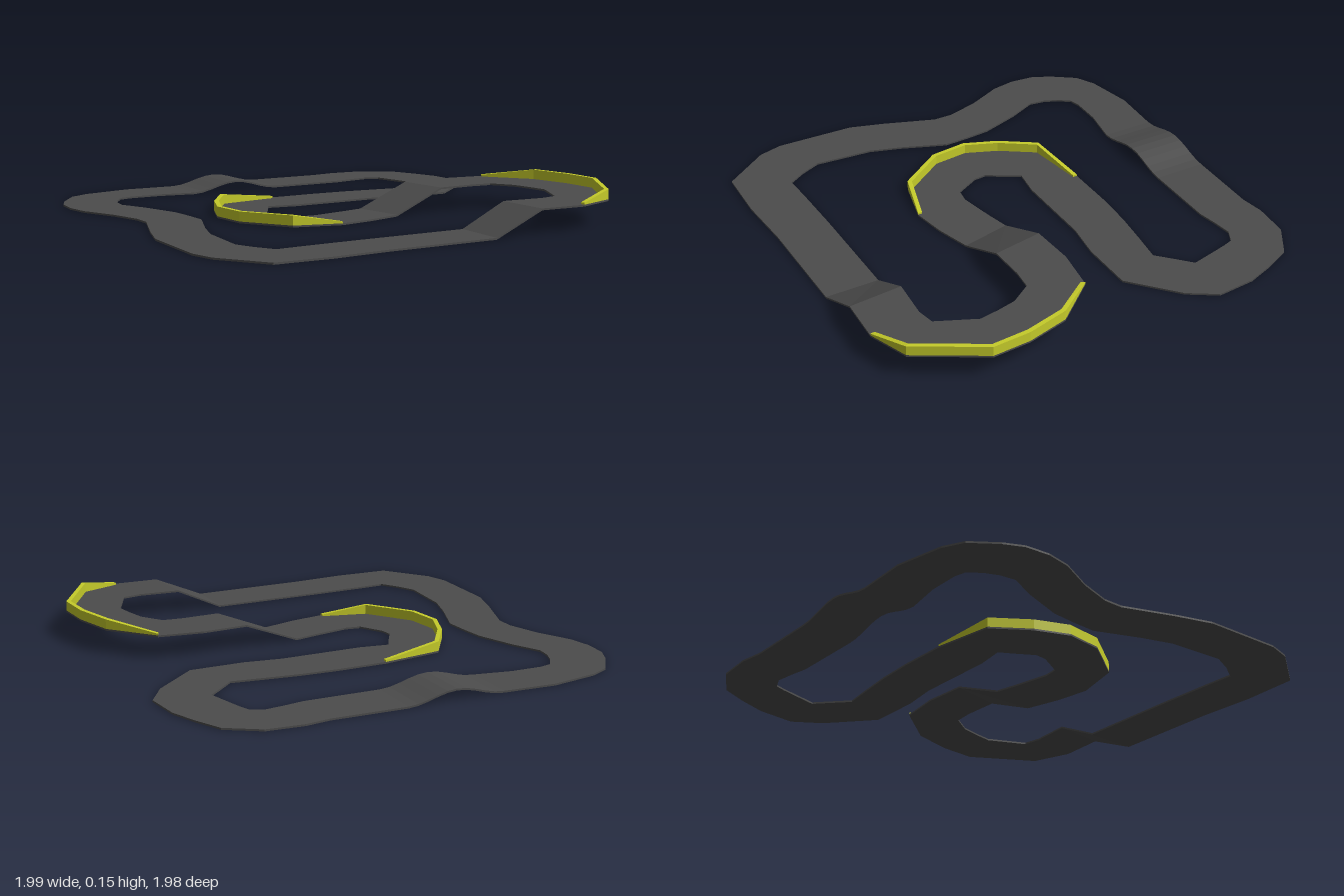
import * as THREE from 'three';

const THICK = 0.008, DECK = 0.1, WALL = 0.02;
const roadMat = new THREE.MeshStandardMaterial({ color: 0x4c4c4c, flatShading: true });
const wallMat = new THREE.MeshStandardMaterial({ color: 0xc6cc2a, flatShading: true });

// Skins four-cornered rings (left top, right top, right bottom, left bottom) and caps both ends
function loft(name, rings, material) {
  const pos = [];
  const quad = (a, b, c, d) => pos.push(...a, ...b, ...c, ...a, ...c, ...d);
  for (let i = 0; i < rings.length - 1; i++) {
    const r = rings[i], s = rings[i + 1];
    for (let k = 0; k < 4; k++) {
      const n = (k + 1) % 4;
      quad(r[k], r[n], s[n], s[k]);
    }
  }
  const first = rings[0], last = rings[rings.length - 1];
  quad(first[0], first[3], first[2], first[1]);
  quad(...last);
  const geo = new THREE.BufferGeometry();
  geo.setAttribute('position', new THREE.Float32BufferAttribute(pos, 3));
  geo.computeVertexNormals();
  const mesh = new THREE.Mesh(geo, material);
  mesh.name = name;
  return mesh;
}

const ring = (lx, lz, rx, rz, y, h) => [[lx, y + h, lz], [rx, y + h, rz], [rx, y, rz], [lx, y, lz]];

// Road slab; each station is [left x, left z, right x, right z], height(i) lifts it
const road = (name, stations, height = () => 0) =>
  loft(name, stations.map((s, i) => ring(...s, height(i), THICK)), roadMat);

// Barrier along one edge of the road, tapering down at both ends
function barrier(name, stations, onLeft, y) {
  const rings = stations.map(([lx, lz, rx, rz], i) => {
    const h = i === 0 || i === stations.length - 1 ? 0.008 : 0.043;
    const t = WALL / Math.hypot(rx - lx, rz - lz);
    const dx = (rx - lx) * t, dz = (rz - lz) * t;
    return onLeft
      ? ring(lx, lz, lx + dx, lz + dz, y + THICK, h)
      : ring(rx - dx, rz - dz, rx, rz, y + THICK, h);
  });
  return loft(name, rings, wallMat);
}

export function createModel() {
  const model = new THREE.Group();
  model.name = 'raceTrack';

  // Left side of the circuit, from the front straight to the back straight
  const leftSweep = [
    [-0.30, 0.97, -0.30, 0.73], [-0.565, 0.985, -0.56, 0.735], [-0.82, 0.975, -0.68, 0.74],
    [-0.97, 0.77, -0.73, 0.66], [-1, 0.66, -0.77, 0.57], [-0.99, 0.30, -0.75, 0.31],
    [-0.94, 0.14, -0.705, 0.17], [-0.855, -0.09, -0.625, -0.03], [-0.855, -0.18, -0.63, -0.15],
    [-0.90, -0.33, -0.64, -0.26], [-0.975, -0.49, -0.70, -0.44], [-0.995, -0.60, -0.76, -0.57],
    [-0.985, -0.71, -0.75, -0.64], [-0.945, -0.795, -0.725, -0.70], [-0.865, -0.905, -0.685, -0.757],
    [-0.775, -0.95, -0.63, -0.77], [-0.555, -0.99, -0.49, -0.767], [-0.32, -0.975, -0.32, -0.735],
  ];

  // Smooth hump on the back straight
  const STEPS = 10;
  const hump = Array.from({ length: STEPS + 1 }, (_, i) => {
    const x = -0.32 + 0.44 * i / STEPS;
    return [x, -0.975, x, -0.735];
  });
  const humpHeight = i => 0.021 * (1 - Math.cos(2 * Math.PI * i / STEPS));

  // Rear right bend and the inner straight
  const rearBend = [
    [0.12, -0.975, 0.12, -0.735], [0.46, -0.965, 0.46, -0.73], [0.57, -0.98, 0.55, -0.745],
    [0.735, -0.965, 0.635, -0.755], [0.875, -0.875, 0.695, -0.725], [0.93, -0.755, 0.71, -0.68],
    [0.975, -0.63, 0.725, -0.62], [0.99, -0.455, 0.755, -0.495], [0.91, -0.33, 0.70, -0.445],
    [0.71, -0.155, 0.62, -0.37], [0.465, -0.155, 0.48, -0.39], [0.295, -0.18, 0.32, -0.41],
    [0.15, -0.18, 0.15, -0.42], [-0.08, -0.18, -0.08, -0.42],
  ];

  // Hairpin in the middle, with a barrier round its outside
  const hairpin = [
    [-0.08, -0.18, -0.08, -0.42], [-0.21, -0.20, -0.36, -0.38], [-0.25, -0.13, -0.47, -0.22],
    [-0.295, -0.055, -0.53, -0.07], [-0.29, 0, -0.51, 0.10], [-0.23, 0.11, -0.365, 0.305],
    [-0.16, 0.12, -0.155, 0.36],
  ];
  const rampFoot = [0.11, 0.065, 0.16, 0.29];
  const approach = [hairpin[6], [0, 0.09, 0, 0.335], rampFoot];

  // Raised bend at the front right
  const raisedBend = [
    [0.36, 0.045, 0.40, 0.275], [0.565, 0.035, 0.565, 0.27], [0.765, 0.065, 0.66, 0.28],
    [0.93, 0.26, 0.725, 0.375], [0.98, 0.45, 0.745, 0.46], [0.99, 0.62, 0.76, 0.55],
    [0.82, 0.91, 0.68, 0.725], [0.64, 0.975, 0.60, 0.74], [0.43, 0.965, 0.41, 0.725],
  ];
  const rampEnd = [0.20, 0.97, 0.20, 0.73];

  model.add(
    road('leftSweep', leftSweep),
    road('hump', hump, humpHeight),
    road('rearBend', rearBend),
    road('hairpin', hairpin),
    road('rampApproach', approach),
    road('upRamp', [rampFoot, raisedBend[0]], i => DECK * i),
    road('raisedBend', raisedBend, () => DECK),
    road('downRamp', [raisedBend[8], rampEnd], i => DECK * (1 - i)),
    road('frontStraight', [rampEnd, leftSweep[0]]),
    barrier('hairpinBarrier', hairpin, false, 0),
    barrier('raisedBarrier', raisedBend.slice(2, 8), true, DECK),
  );
  return model;
}
